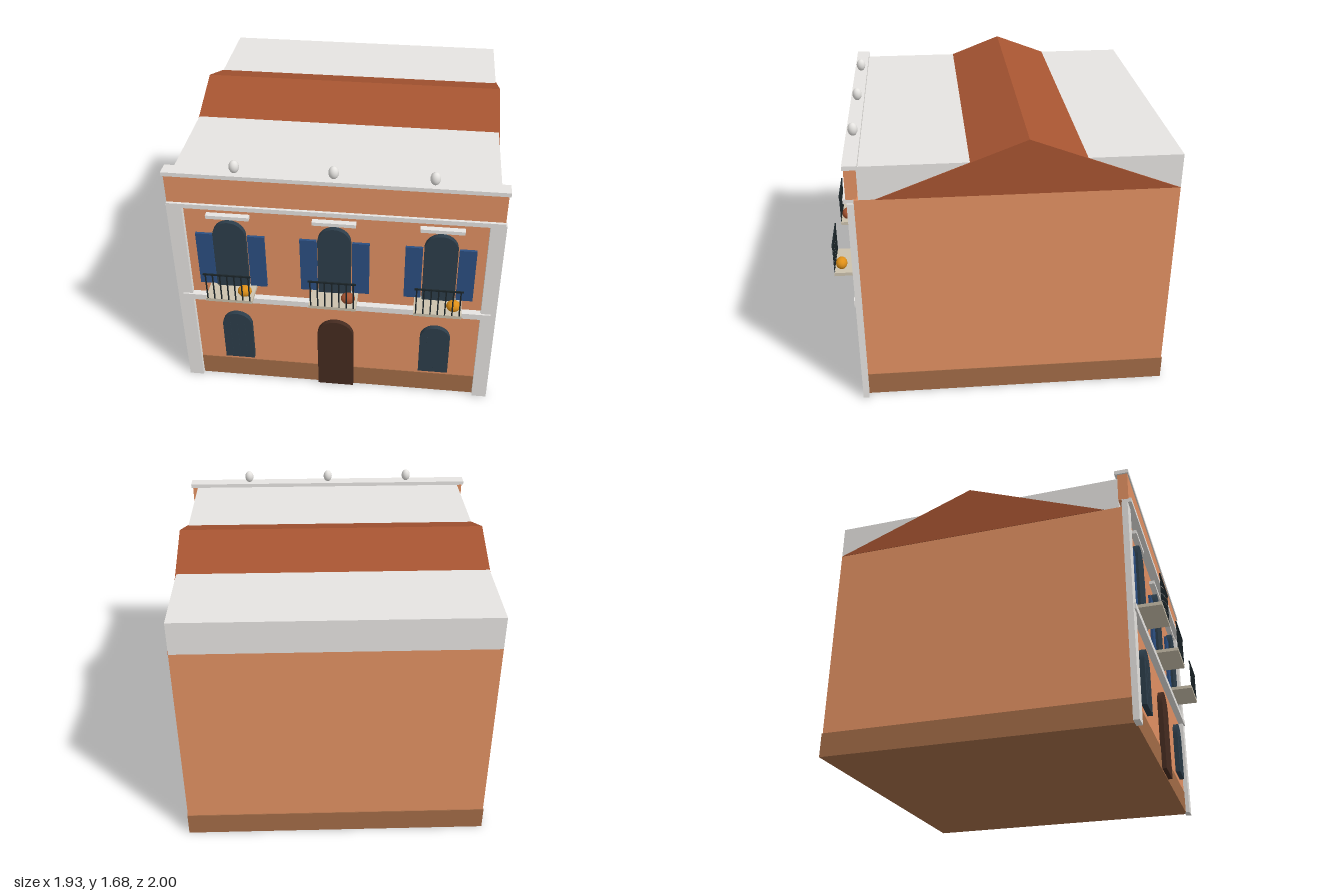
import * as THREE from 'three';

const mat = (name, color) => {
  const m = new THREE.MeshStandardMaterial({ color });
  m.name = name;
  return m;
};

export function createModel() {
  const house = new THREE.Group();
  house.name = 'townhouse';
  const wall = mat('terracotta plaster', 0xe29163);
  const roofTile = mat('roof tile', 0xa65431);
  const plinthMat = mat('plinth brown', 0xa36c47);
  const wood = mat('dark wood', 0x452b20);
  const glass = mat('dark glass', 0x2c3d4a);
  const blue = mat('shutter blue', 0x2b4f82);
  const iron = mat('black iron', 0x1b2529);
  const stone = mat('pale stone', 0xe6e4e1);
  const slabMat = mat('balcony stone', 0xcbc1ad);
  const orange = mat('orange flowers', 0xdf9018);

  const add = (name, geo, material, parent = house) => {
    const m = new THREE.Mesh(geo, material);
    m.name = name;
    parent.add(m);
    return m;
  };
  // Box given by its minimum and maximum on each axis
  const box = (name, material, x0, x1, y0, y1, z0, z1, parent) => {
    const g = new THREE.BoxGeometry(x1 - x0, y1 - y0, z1 - z0);
    g.translate((x0 + x1) / 2, (y0 + y1) / 2, (z0 + z1) / 2);
    return add(name, g, material, parent);
  };
  // Round-headed panel standing out from the front wall
  const arch = (name, material, half, y0, y1, parent) => {
    const s = new THREE.Shape();
    s.moveTo(-half, y0);
    s.lineTo(half, y0);
    s.lineTo(half, y1 - half);
    s.absarc(0, y1 - half, half, 0, Math.PI, false);
    s.closePath();
    const g = new THREE.ExtrudeGeometry(s, { depth: 0.031, bevelEnabled: false, curveSegments: 16 });
    g.translate(0, 0, 0.84);
    return add(name, g, material, parent);
  };
  const ball = (name, material, x, y, z, rx, ry, rz, parent) => {
    const m = add(name, new THREE.SphereGeometry(1, 16, 12), material, parent);
    m.position.set(x, y, z);
    m.scale.set(rx, ry, rz);
  };

  // Main volumes
  box('walls', wall, -0.92, 0.92, 0.14, 1.352, -0.995, 0.84);
  box('plinth', plinthMat, -0.923, 0.923, 0, 0.145, -1, 0.844);
  box('flatRoof', stone, -0.92, 0.92, 1.352, 1.555, -0.995, 0.81);

  // Gabled roof rising through the flat roof
  const gable = new THREE.Shape();
  gable.moveTo(-0.72, 1.352);
  gable.lineTo(0.99, 1.352);
  gable.lineTo(0.13, 1.68);
  gable.closePath();
  const roof = new THREE.ExtrudeGeometry(gable, { depth: 1.849, bevelEnabled: false });
  roof.rotateY(Math.PI / 2);
  roof.translate(-0.923, 0, 0);
  add('gableRoof', roof, roofTile);

  // Parapet, mouldings and corner pilasters
  box('parapet', wall, -0.955, 0.955, 1.375, 1.555, 0.815, 0.875);
  box('parapetCap', stone, -0.965, 0.965, 1.555, 1.58, 0.8, 0.882);
  box('cornice', stone, -0.955, 0.955, 1.352, 1.38, 0.835, 0.892);
  box('stringCourse', stone, -0.933, 0.933, 0.66, 0.699, 0.835, 0.88);
  for (const s of [-1, 1]) {
    const p = box('pilaster', stone, -0.045, 0.045, 0, 1.352, 0.835, 0.87);
    p.position.x = s * 0.92;
  }
  for (const x of [-0.555, 0, 0.555]) ball('finial', stone, x, 1.619, 0.84, 0.029, 0.039, 0.029);

  // Ground floor openings
  arch('door', wood, 0.112, 0.008, 0.54);
  for (const x of [-0.615, 0.615]) {
    const w = new THREE.Group();
    w.name = 'lowerWindow';
    w.position.x = x;
    house.add(w);
    arch('lowerGlass', glass, 0.092, 0.187, 0.553, w);
    for (const b of [-0.045, 0, 0.045])
      box('windowBar', glass, b - 0.002, b + 0.002, 0.19, 0.475, 0.87, 0.874, w);
  }

  // Upper bays: window, shutters, lintel and balcony
  [-0.615, 0, 0.615].forEach((x, i) => {
    const bay = new THREE.Group();
    bay.name = 'balconyBay';
    bay.position.x = x;
    house.add(bay);
    arch('upperGlass', glass, 0.097, 0.78, 1.25, bay);
    box('lintel', stone, -0.126, 0.126, 1.275, 1.297, 0.835, 0.875, bay);
    for (const s of [-1, 1]) {
      const sh = box('shutter', blue, -0.05, 0.05, 0.78, 1.15, 0.84, 0.856, bay);
      sh.position.x = s * 0.154;
    }
    box('balconySlab', slabMat, -0.14, 0.14, 0.761, 0.782, 0.835, 0.998, bay);
    box('handrail', iron, -0.14, 0.14, 0.958, 0.968, 0.992, 1, bay);
    for (let k = -3; k <= 3; k++)
      box('baluster', iron, k * 0.042 - 0.004, k * 0.042 + 0.004, 0.78, 0.96, 0.994, 0.998, bay);
    ball('flowers', i === 1 ? roofTile : orange, 0.09, 0.822, 0.955, 0.042, 0.036, 0.034, bay);
  });
  return house;
}
